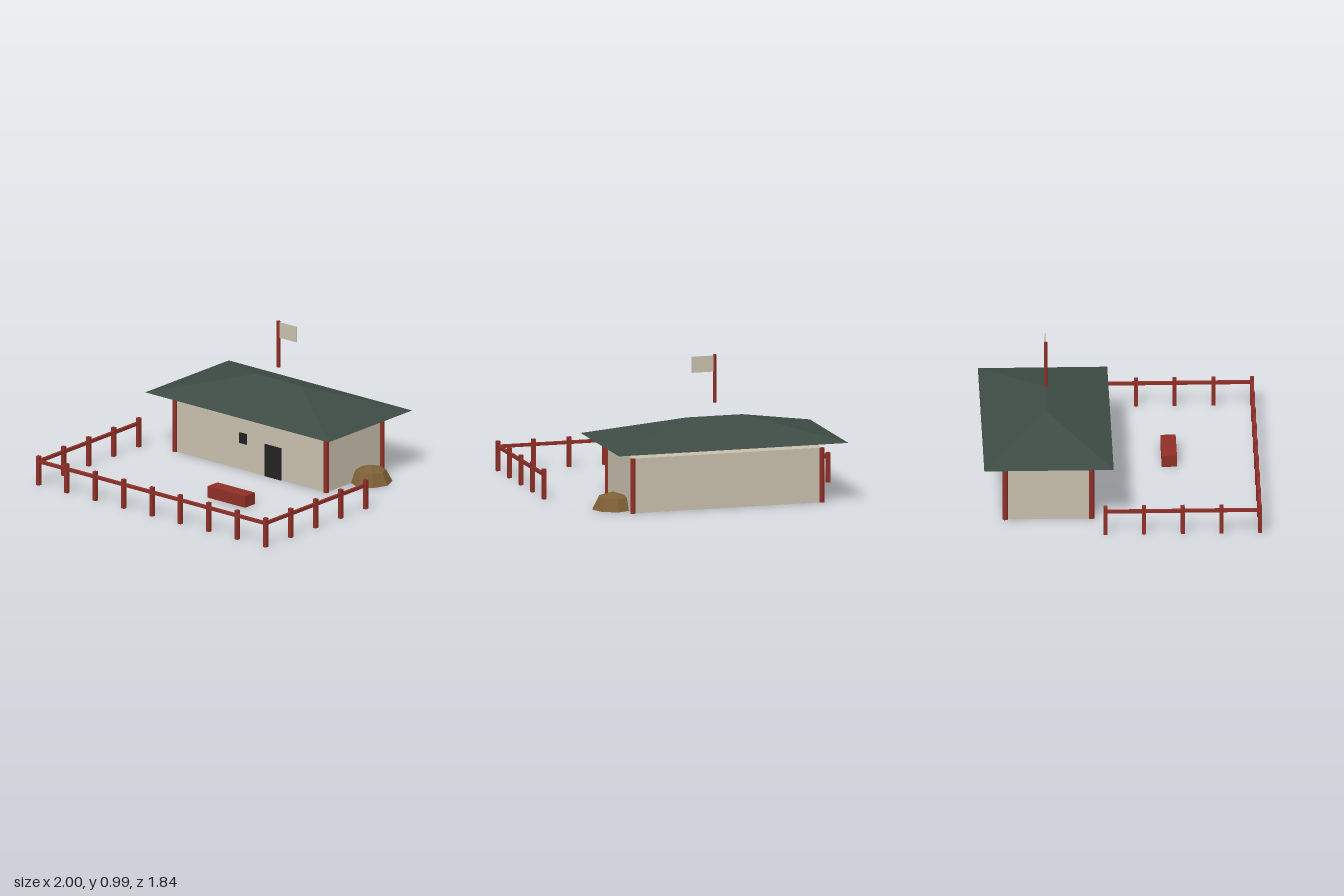
import * as THREE from 'three';
import { ConvexGeometry } from 'three/addons/geometries/ConvexGeometry.js';

const material = (name, color, side = THREE.FrontSide) =>
  new THREE.MeshStandardMaterial({ name, color, side, flatShading: true });

export function createModel() {
  const plaster = material('plaster', 0xc8bfad);
  const slate = material('roof slate', 0x3e4c45);
  const redWood = material('red wood', 0x8f2f27);
  const black = material('dark opening', 0x222224);
  const straw = material('straw', 0x7c5f36, THREE.DoubleSide);

  const model = new THREE.Group();
  model.name = 'farmstead';

  const add = (parent, name, geometry, mat, x = 0, y = 0, z = 0) => {
    const mesh = new THREE.Mesh(geometry, mat);
    mesh.name = name;
    mesh.position.set(x, y, z);
    parent.add(mesh);
    return mesh;
  };
  // Box given by its minimum and maximum corners
  const box = (parent, name, mat, [x0, y0, z0], [x1, y1, z1]) =>
    add(parent, name, new THREE.BoxGeometry(x1 - x0, y1 - y0, z1 - z0), mat,
      (x0 + x1) / 2, (y0 + y1) / 2, (z0 + z1) / 2);

  // House body with corner posts
  const house = new THREE.Group();
  house.name = 'house';
  model.add(house);
  const west = -0.74, east = 0.573, back = -0.779, front = -0.205, wallTop = 0.37;
  box(house, 'walls', plaster, [west, 0, back], [east, wallTop, front]);
  const postGeo = new THREE.CylinderGeometry(0.0177, 0.0177, wallTop, 6);
  for (const x of [west, east])
    for (const z of [back, front]) add(house, 'cornerPost', postGeo, redWood, x, wallTop / 2, z);

  // Door and window
  box(house, 'door', black, [0.042, 0, front - 0.002], [0.183, 0.225, front + 0.007]);
  box(house, 'window', black, [-0.178, 0.185, front - 0.002], [-0.116, 0.258, front + 0.007]);

  // Hipped roof: four eaves corners and a short ridge
  const ridgeZ = -0.492;
  const roofPoints = [
    [-0.88, 0.42, -0.922], [0.715, 0.42, -0.922], [0.715, 0.42, -0.062], [-0.88, 0.42, -0.062],
    [-0.275, 0.57, ridgeZ], [0.11, 0.57, ridgeZ],
  ].map((p) => new THREE.Vector3(...p));
  add(house, 'roof', new ConvexGeometry(roofPoints), slate);

  // Flagpole and flag
  add(model, 'flagpole', new THREE.CylinderGeometry(0.012, 0.012, 0.325, 6), redWood, -0.084, 0.8225, ridgeZ);
  box(model, 'flag', plaster, [-0.076, 0.87, ridgeZ - 0.004], [0.075, 0.978, ridgeZ + 0.004]);

  // Straw heap: faceted, flattened half dome
  const dome = new THREE.SphereGeometry(0.144, 8, 2, 0, Math.PI * 2, 0, Math.PI / 2);
  dome.scale(1, 0.115 / 0.144, 1);
  add(model, 'strawHeap', dome, straw, 0.65, 0, -0.573);

  // Trough in the yard
  box(model, 'trough', redWood, [0.04, 0, 0.282], [0.365, 0.081, 0.383]);

  // Fence on three sides of the yard
  const fence = new THREE.Group();
  fence.name = 'fence';
  model.add(fence);
  const fx = 0.987, fz0 = -0.121, fz1 = 0.908, h = 0.203, r = 0.01;
  const fencePost = new THREE.BoxGeometry(0.026, h, 0.026);
  for (let i = 0; i <= 8; i++)
    add(fence, 'fencePost', fencePost, redWood, -fx + (2 * fx * i) / 8, h / 2, fz1);
  box(fence, 'frontRail', redWood, [-fx, 0.155, fz1 - r], [fx, 0.176, fz1 + r]);
  for (const x of [-fx, fx]) {
    for (let i = 0; i < 4; i++)
      add(fence, 'fencePost', fencePost, redWood, x, h / 2, fz0 + ((fz1 - fz0) * i) / 4);
    box(fence, 'sideRail', redWood, [x - r, 0.155, fz0], [x + r, 0.176, fz1]);
  }

  return model;
}
